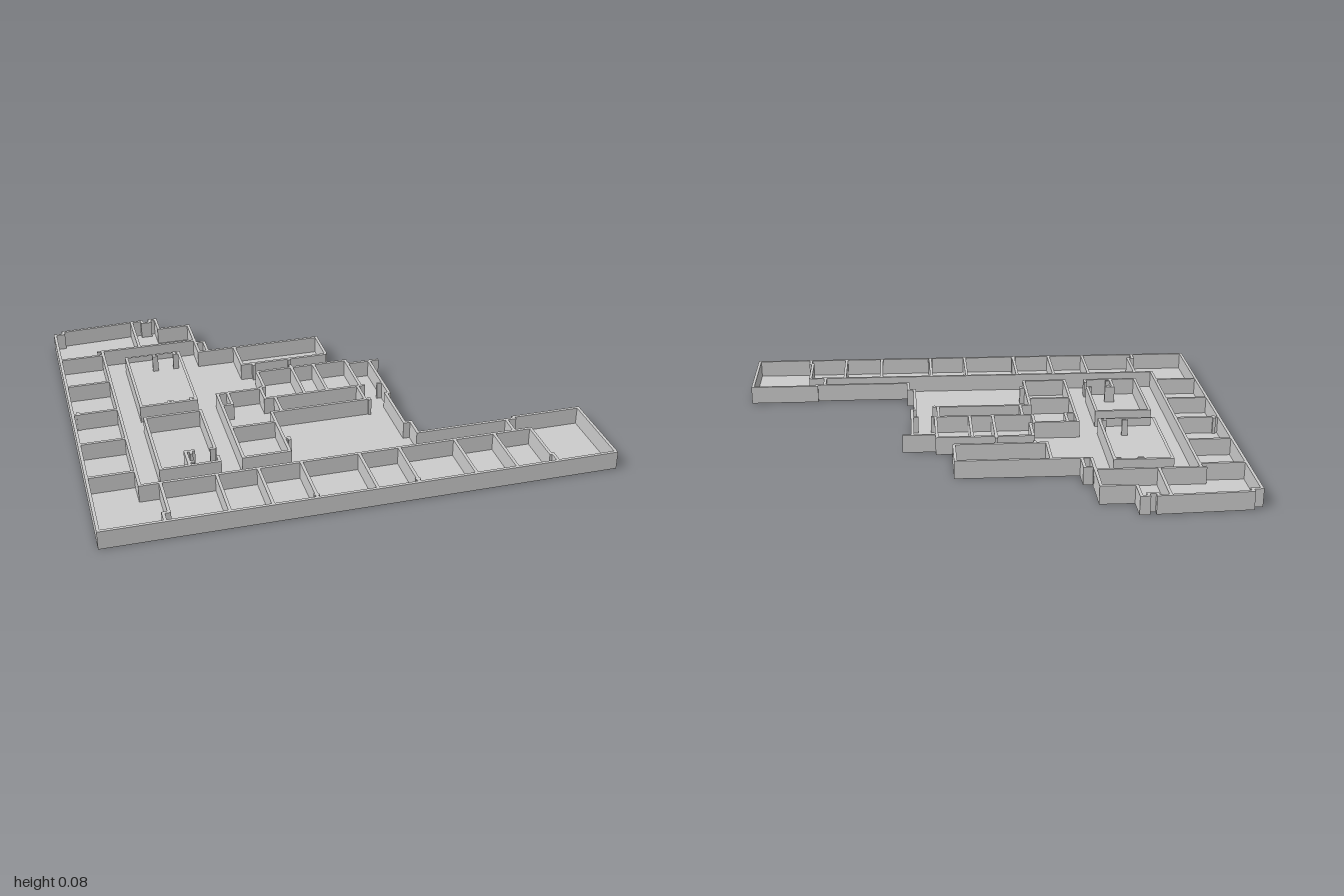
import * as THREE from 'three';

const HEIGHT = 0.075, THICK = 0.012, SLAB = 0.004;
const material = new THREE.MeshStandardMaterial({ color: 0xcccccc, flatShading: true });

// Raise a plan shape (drawn as x, -z) to the given height.
function raise(shape, height) {
  return new THREE.ExtrudeGeometry(shape, { depth: height, bevelEnabled: false }).rotateX(-Math.PI / 2);
}

// Offset a plan path sideways with mitred corners.
function offsetPath(pts, d, closed) {
  const n = pts.length;
  const normal = (a, b) => new THREE.Vector2(a.y - b.y, b.x - a.x).normalize();
  return pts.map((p, i) => {
    const prev = closed ? pts[(i + n - 1) % n] : pts[i - 1];
    const next = closed ? pts[(i + 1) % n] : pts[i + 1];
    const n1 = prev ? normal(prev, p) : normal(p, next);
    const n2 = next ? normal(p, next) : n1;
    const m = n1.clone().add(n2).normalize();
    return p.clone().addScaledVector(m, d / m.dot(n2));
  });
}

const toPoints = (path) => path.map(([x, z]) => new THREE.Vector2(x, -z));

// A wall of constant thickness along a path of [x, z] points.
function wall(path, closed = false) {
  const pts = toPoints(path);
  const a = offsetPath(pts, THICK / 2, closed), b = offsetPath(pts, -THICK / 2, closed);
  if (!closed) return raise(new THREE.Shape([...a, ...b.reverse()]), HEIGHT);
  const [outer, inner] = THREE.ShapeUtils.area(a) ** 2 > THREE.ShapeUtils.area(b) ** 2 ? [a, b] : [b, a];
  const shape = new THREE.Shape(outer);
  shape.holes.push(new THREE.Path(inner));
  return raise(shape, HEIGHT);
}

const alongX = (z, x0, x1) => [[x0, z], [x1, z]];
const alongZ = (x, z0, z1) => [[x, z0], [x, z1]];
const rect = (x0, x1, z0, z1) => [[x0, z0], [x1, z0], [x1, z1], [x0, z1]];

export function createModel() {
  const model = new THREE.Group();
  model.name = 'floorPlan';
  const addGroup = (name, paths, closed) => {
    const group = new THREE.Group();
    group.name = name;
    paths.forEach((path, i) => {
      const mesh = new THREE.Mesh(wall(path, closed), material);
      mesh.name = name + (i + 1);
      group.add(mesh);
    });
    model.add(group);
  };

  // Outer wall, from the open bay on the back right, round the building
  const backWall = [
    [0.128, -0.265], [0.128, -0.428], [-0.402, -0.428], [-0.402, -0.69], [-0.537, -0.69],
    [-0.537, -0.788], [-0.565, -0.788], [-0.565, -0.765], [-0.6, -0.765], [-0.6, -0.787],
    [-0.957, -0.77], [-0.957, -0.748], [-0.994, -0.748]];
  const frontWall = [
    [-0.994, 0.786], [0.994, 0.786], [0.994, 0.442], [0.712, 0.442], [0.712, 0.454],
    [0.304, 0.454], [0.304, 0.37], [0.277, 0.37], [0.277, 0.128], [0.291, 0.128], [0.291, -0.157]];
  const outer = [...backWall, ...frontWall];
  addGroup('outerWall', [outer]);

  // Floor slab
  const floor = new THREE.Mesh(raise(new THREE.Shape(toPoints(
    [...outer, [0.193, -0.157], [0.193, -0.187], [0.134, -0.187], [0.134, -0.265]])), SLAB), material);
  floor.name = 'floor';
  model.add(floor);

  // Corridor walls and back alcove
  addGroup('corridorWall', [
    [[-0.395, -0.54], [-0.81, -0.54], [-0.81, 0.54], [0.745, 0.54]],
    alongX(-0.54, -0.832, -0.81),
    [[-0.402, -0.515], [-0.364, -0.515], [-0.364, -0.428]],
    alongZ(0.677, 0.454, 0.54),
  ]);

  // Room partitions of the side wing
  addGroup('sidePartition', [
    ...[-0.505, -0.265, -0.03, 0.2, 0.44].map((z) => alongX(z, -0.994, -0.81)),
    alongZ(-0.647, -0.782, -0.54),
    alongZ(-0.972, -0.045, -0.02),
  ]);

  // Room partitions of the front wing
  addGroup('frontPartition', [
    ...[-0.52, -0.36, -0.193, 0.037, 0.198, 0.425, 0.59].map((x) => alongZ(x, 0.54, 0.786)),
    [[-0.733, 0.54], [-0.733, 0.735], [-0.755, 0.735], [-0.755, 0.786]],
    [[0.745, 0.54], [0.745, 0.735], [0.755, 0.735], [0.755, 0.786]],
    ...[-0.193, 0.198].map((x) => alongX(0.765, x - 0.01, x + 0.01)),
  ]);

  // Block inside the back of the side wing
  addGroup('backBlock', [rect(-0.717, -0.49, -0.45, -0.025)], true);
  addGroup('backBlockJamb', [-0.595, -0.505].flatMap((x) => [
    alongX(-0.436, x - 0.012, x + 0.012), alongX(-0.039, x - 0.012, x + 0.012)]));

  // Block inside the corner, with an open doorway
  addGroup('cornerBlock', [
    [[-0.49, 0.36], [-0.49, 0.067], [-0.717, 0.067], [-0.717, 0.453], [-0.49, 0.453], [-0.49, 0.415]],
    [[-0.568, 0.355], [-0.605, 0.355], [-0.605, 0.447]],
    alongZ(-0.585, 0.355, 0.378), alongX(0.36, -0.51, -0.49), alongX(0.43, -0.605, -0.582),
  ]);

  // Central rooms
  addGroup('centralRoom', [
    [[-0.215, 0.04], [-0.215, -0.045], [-0.398, -0.045], [-0.398, 0.453], [-0.215, 0.453],
      [-0.215, 0.153], [0.2, 0.153]],
    alongX(0.23, -0.398, -0.215),
    [[-0.355, -0.045], [-0.355, 0.05], [-0.398, 0.05]],
    [[-0.215, 0.36], [-0.195, 0.36], [-0.195, 0.378]],
    alongZ(-0.173, 0.04, 0.153),
    alongZ(0.18, 0.04, 0.153),
    alongZ(0.197, 0.145, 0.165),
  ]);

  // Rear rooms beside the open bay
  addGroup('rearRoom', [
    [[-0.215, -0.055], [-0.197, -0.055], [-0.197, -0.187], [0.193, -0.187], [0.193, 0.04]],
    alongX(0.04, -0.221, 0.212),
    alongZ(-0.047, -0.21, 0.04),
    alongZ(0.05, -0.187, 0.04),
    alongX(-0.157, 0.193, 0.333),
    alongX(0.04, 0.265, 0.291),
    [[-0.245, -0.428], [-0.245, -0.265], [0.128, -0.265]],
    alongZ(-0.197, -0.265, -0.243),
    alongZ(-0.04, -0.265, -0.25),
  ]);
  return model;
}
